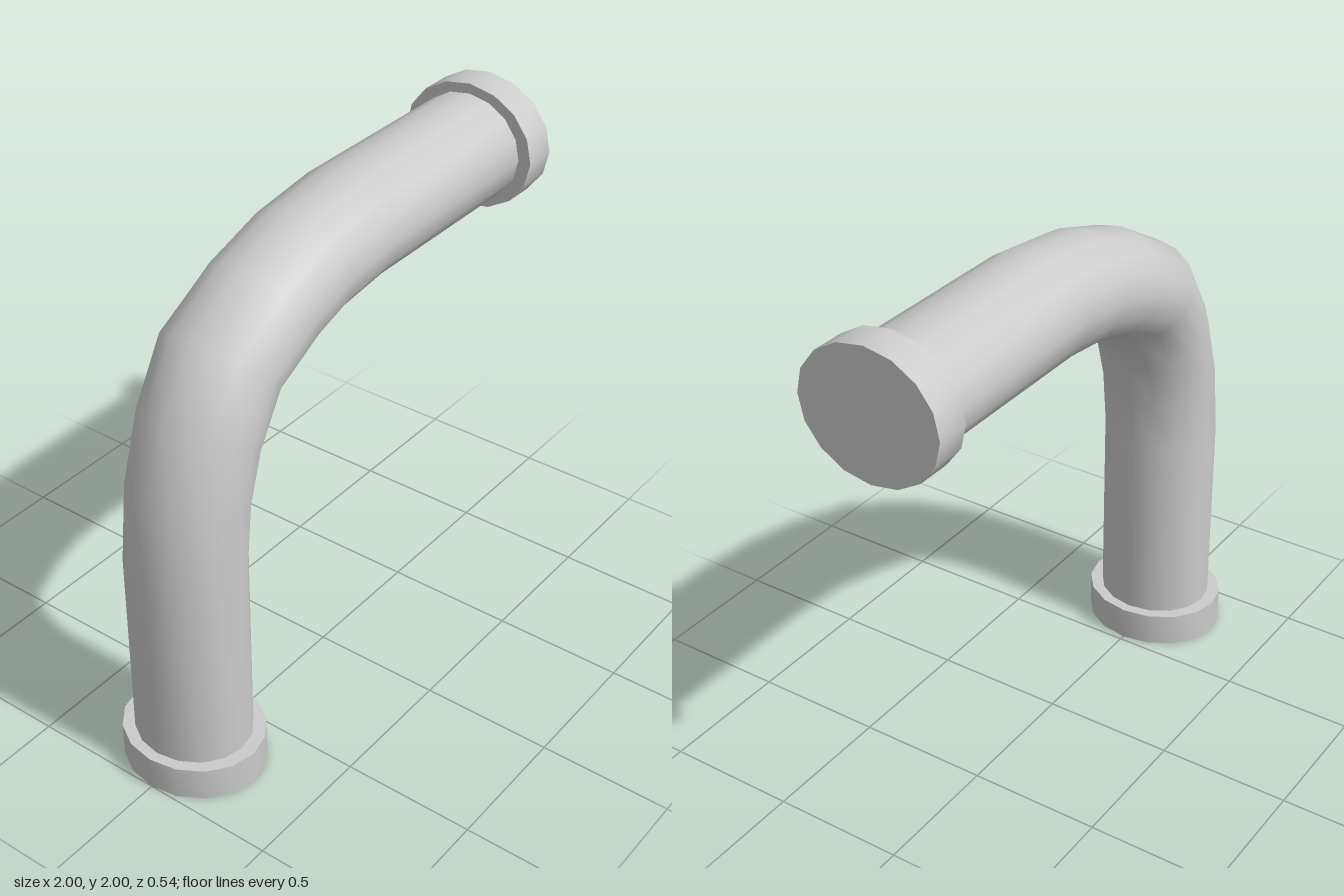
import * as THREE from 'three';

const SIDES = 16;
const material = new THREE.MeshStandardMaterial({ color: 0xcccccc, side: THREE.DoubleSide });

// Lofts a surface through elliptical sections: [outerX, outerY, innerX, innerY, halfDepth]
function loft(name, sections) {
  const positions = [], index = [];
  sections.forEach(([ax, ay, bx, by, depth], row) => {
    for (let i = 0; i < SIDES; i++) {
      const t = (i / SIDES) * Math.PI * 2, c = Math.cos(t) / 2;
      positions.push((ax + bx) / 2 + (ax - bx) * c, (ay + by) / 2 + (ay - by) * c, depth * Math.sin(t));
      if (row === 0) continue;
      const j = (i + 1) % SIDES, p = (row - 1) * SIDES, q = row * SIDES;
      index.push(p + i, p + j, q + i, p + j, q + j, q + i);
    }
  });
  const geometry = new THREE.BufferGeometry();
  geometry.setAttribute('position', new THREE.Float32BufferAttribute(positions, 3));
  geometry.setIndex(index);
  geometry.computeVertexNormals();
  const mesh = new THREE.Mesh(geometry, material);
  mesh.name = name;
  return mesh;
}

// Sections square to the upright leg and to the level arm
const across = (y, r, depth) => [-0.76 - r, y, -0.76 + r, y, depth];
const upright = (x, r, depth) => [x, 1.76 + r, x, 1.76 - r, depth];

export function createModel() {
  const model = new THREE.Group();
  model.name = 'pipeElbow';

  // Bent pipe: straight leg, faceted bend, straight arm
  model.add(loft('pipe', [
    across(0.13, 0.2, 0.22),
    across(0.88, 0.2, 0.22),
    [-0.925, 1.19, -0.54, 1.08, 0.22],
    [-0.84, 1.45, -0.495, 1.25, 0.222],
    [-0.69, 1.69, -0.41, 1.41, 0.225],
    [-0.43, 1.84, -0.23, 1.49, 0.222],
    [-0.17, 1.925, -0.08, 1.535, 0.22],
    upright(0.12, 0.202, 0.22),
    upright(0.87, 0.202, 0.22),
  ]));

  // Lower collar, open underneath
  const lower = new THREE.Group();
  lower.name = 'lowerCollar';
  lower.add(
    loft('lowerCollarWall', [across(0, 0.24, 0.27), across(0.13, 0.24, 0.27)]),
    loft('lowerCollarLip', [across(0.13, 0.24, 0.27), across(0.13, 0.2, 0.22)]),
  );

  // End collar, closed by a flat cap
  const end = new THREE.Group();
  end.name = 'endCollar';
  end.add(
    loft('endCollarLip', [upright(0.87, 0.202, 0.22), upright(0.87, 0.24, 0.27)]),
    loft('endCollarWall', [upright(0.87, 0.24, 0.27), upright(1, 0.24, 0.27)]),
    loft('endCap', [upright(1, 0.24, 0.27), upright(1, 0, 0)]),
  );

  model.add(lower, end);
  return model;
}
